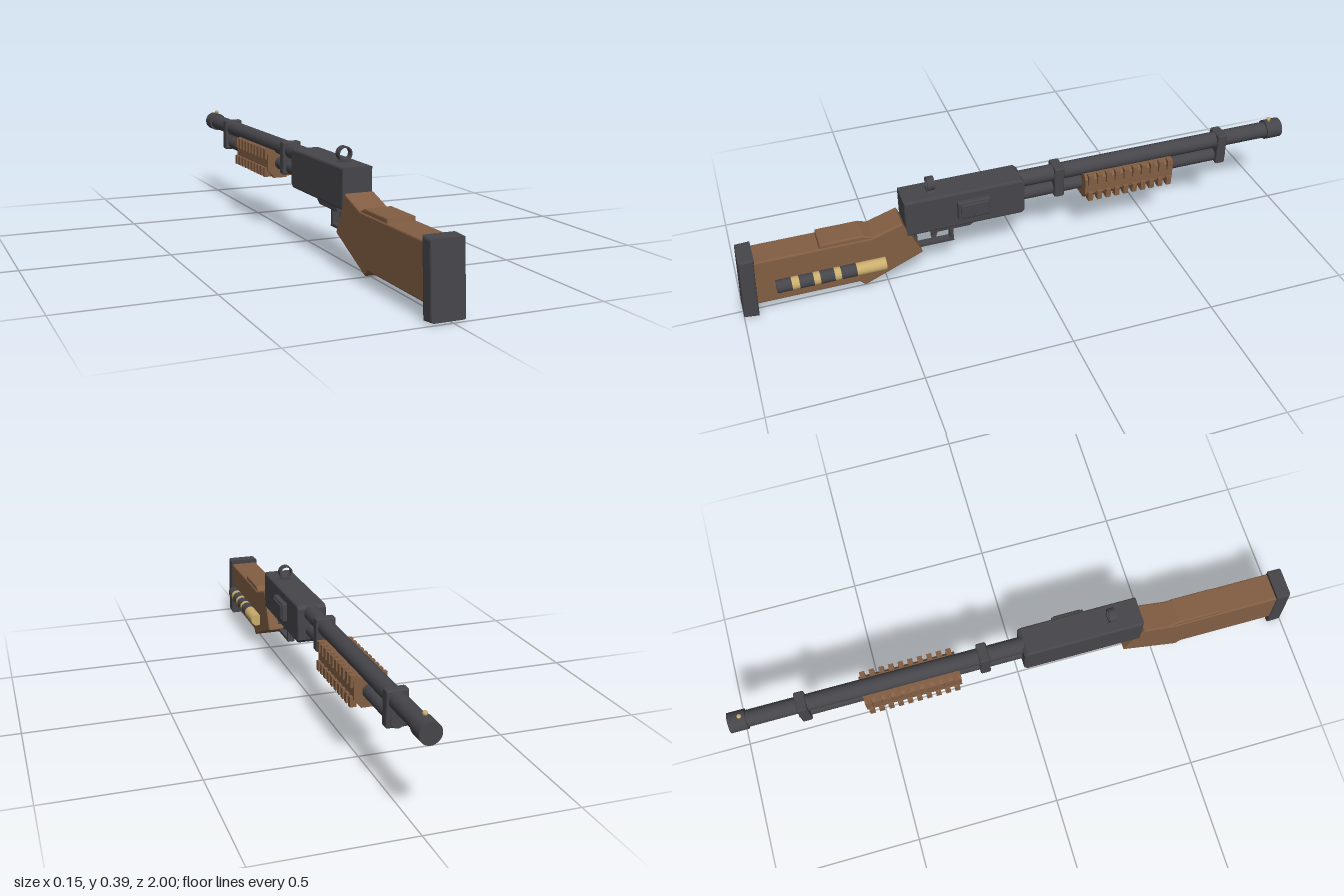
import * as THREE from 'three';
import { RoundedBoxGeometry } from 'three/addons/geometries/RoundedBoxGeometry.js';

const mat = (name, color) => Object.assign(new THREE.MeshStandardMaterial({ color }), { name });

export function createModel() {
  const metal = mat('gunmetal', 0x46454a);
  const wood = mat('walnut', 0x825e43);
  const brass = mat('brass', 0xc9ad6c);

  const model = new THREE.Group();
  model.name = 'pumpActionLongarm';
  const body = new THREE.Group();
  body.name = 'body';
  body.position.x = -0.013;
  model.add(body);

  const add = (name, geometry, material, x = 0, y = 0, z = 0) => {
    const mesh = new THREE.Mesh(geometry, material);
    mesh.name = name;
    mesh.position.set(x, y, z);
    body.add(mesh);
    return mesh;
  };
  // Side profile of [z, y] points, extruded across x with bevelled edges
  const slab = (name, points, width, bevel, material) => {
    const shape = new THREE.Shape(points.map(([z, y]) => new THREE.Vector2(z, y)));
    const geometry = new THREE.ExtrudeGeometry(shape, {
      depth: width - 2 * bevel, bevelEnabled: bevel > 0, bevelSize: bevel,
      bevelThickness: bevel, bevelOffset: -bevel, bevelSegments: 2,
    });
    geometry.translate(0, 0, bevel - width / 2).rotateY(-Math.PI / 2);
    return add(name, geometry, material);
  };
  // Cylinder running along z from z0 to z1
  const rod = (name, r, z0, z1, x, y, material) =>
    add(name, new THREE.CylinderGeometry(r, r, Math.abs(z1 - z0), 28).rotateX(Math.PI / 2),
      material, x, y, (z0 + z1) / 2);
  const box = (name, w, h, d, x, y, z, material) =>
    add(name, new THREE.BoxGeometry(w, h, d), material, x, y, z);

  // Stock, cheek pad and butt plate
  slab('stock', [[0.95, 0.05], [0.945, 0.222], [0.55, 0.222], [0.44, 0.257],
    [0.377, 0.12], [0.585, 0.03], [0.603, 0.05]], 0.102, 0.005, wood);
  slab('cheekPad', [[0.725, 0.215], [0.72, 0.237], [0.575, 0.237], [0.52, 0.215]], 0.094, 0.005, wood);
  slab('buttPlate', [[0.95, 0], [1.0, 0.006], [0.986, 0.236], [0.935, 0.238]], 0.11, 0.007, metal);

  // Receiver with chamfered nose
  slab('receiver', [[0.43, 0.2], [0.43, 0.337], [0.018, 0.337], [0.006, 0.325],
    [0.006, 0.212], [0.018, 0.2]], 0.105, 0.007, metal);
  add('ejectionPort', new RoundedBoxGeometry(0.03, 0.068, 0.115, 2, 0.004), metal, 0.055, 0.272, 0.192);
  add('ejectionCover', new RoundedBoxGeometry(0.02, 0.054, 0.098, 2, 0.004), metal, 0.065, 0.272, 0.192);

  // Trigger group
  slab('triggerPlate', [[0.34, 0.205], [0.18, 0.205], [0.18, 0.188], [0.2, 0.175], [0.34, 0.175]],
    0.06, 0.004, metal);
  box('guardBar', 0.026, 0.01, 0.14, 0, 0.117, 0.325, metal);
  slab('guardFront', [[0.268, 0.112], [0.256, 0.112], [0.256, 0.18], [0.268, 0.18]], 0.026, 0, metal);
  box('guardRear', 0.026, 0.09, 0.01, 0, 0.157, 0.39, metal);
  slab('trigger', [[0.322, 0.18], [0.305, 0.18], [0.313, 0.155], [0.318, 0.138], [0.334, 0.14], [0.328, 0.16]],
    0.016, 0, metal);

  // Rear ring sight on a tapered foot
  const foot = new THREE.Shape([[-0.024, 0.333], [0.024, 0.333], [0.013, 0.348], [-0.013, 0.348]]
    .map(([x, y]) => new THREE.Vector2(x, y)));
  add('sightFoot', new THREE.ExtrudeGeometry(foot, { depth: 0.027, bevelEnabled: false }), metal, 0, 0, 0.313);
  const ring = new THREE.Shape().absarc(0, 0, 0.0245, 0, Math.PI * 2);
  ring.holes.push(new THREE.Path().absarc(0, 0, 0.0195, 0, Math.PI * 2, true));
  add('sightRing', new THREE.ExtrudeGeometry(ring, { depth: 0.025, bevelEnabled: false, curveSegments: 16 }),
    metal, 0, 0.364, 0.314);

  // Barrel, magazine tube and clamps
  rod('barrel', 0.029, 0.02, -0.96, 0, 0.308, metal);
  rod('muzzleCollar', 0.035, -0.94, -1, 0, 0.308, metal);
  rod('magazineTube', 0.024, 0.02, -0.778, 0, 0.246, metal);
  for (const z of [-0.127, -0.755])
    add('barrelClamp', new RoundedBoxGeometry(0.07, 0.118, 0.036, 2, 0.006), metal, 0, 0.281, z);
  add('frontBead', new THREE.SphereGeometry(0.008, 16, 12), brass, 0, 0.35, -0.957);
  add('beadPost', new THREE.CylinderGeometry(0.004, 0.006, 0.014, 12), brass, 0, 0.341, -0.957);

  // Ribbed sliding forend
  const section = [[-0.03, 0.197], [0.03, 0.197], [0.051, 0.22], [0.051, 0.28], [0.04, 0.293],
    [-0.04, 0.293], [-0.051, 0.28], [-0.051, 0.22]].map(([x, y]) => new THREE.Vector2(x, y));
  add('forend', new THREE.ExtrudeGeometry(new THREE.Shape(section), { depth: 0.336, bevelEnabled: false }),
    wood, 0, 0, -0.553);
  for (let i = 0; i < 10; i++) {
    const z = -0.236 - i * 0.0335;
    for (const side of [-1, 1]) {
      box('upperRib', 0.022, 0.038, 0.018, side * 0.049, 0.28, z, wood);
      box('lowerRib', 0.022, 0.034, 0.018, side * 0.05, 0.213, z, wood);
    }
    box('bottomRib', 0.05, 0.016, 0.018, 0, 0.198, z, wood);
  }

  // Banded side cylinder on the stock
  const stops = [0.88, 0.83, 0.805, 0.757, 0.735, 0.687, 0.665, 0.612, 0.51];
  for (let i = 0; i < stops.length - 1; i++)
    rod(i % 2 ? 'brassBand' : 'darkBand', 0.0225, stops[i], stops[i + 1], 0.063, 0.117, i % 2 ? brass : metal);

  return model;
}
